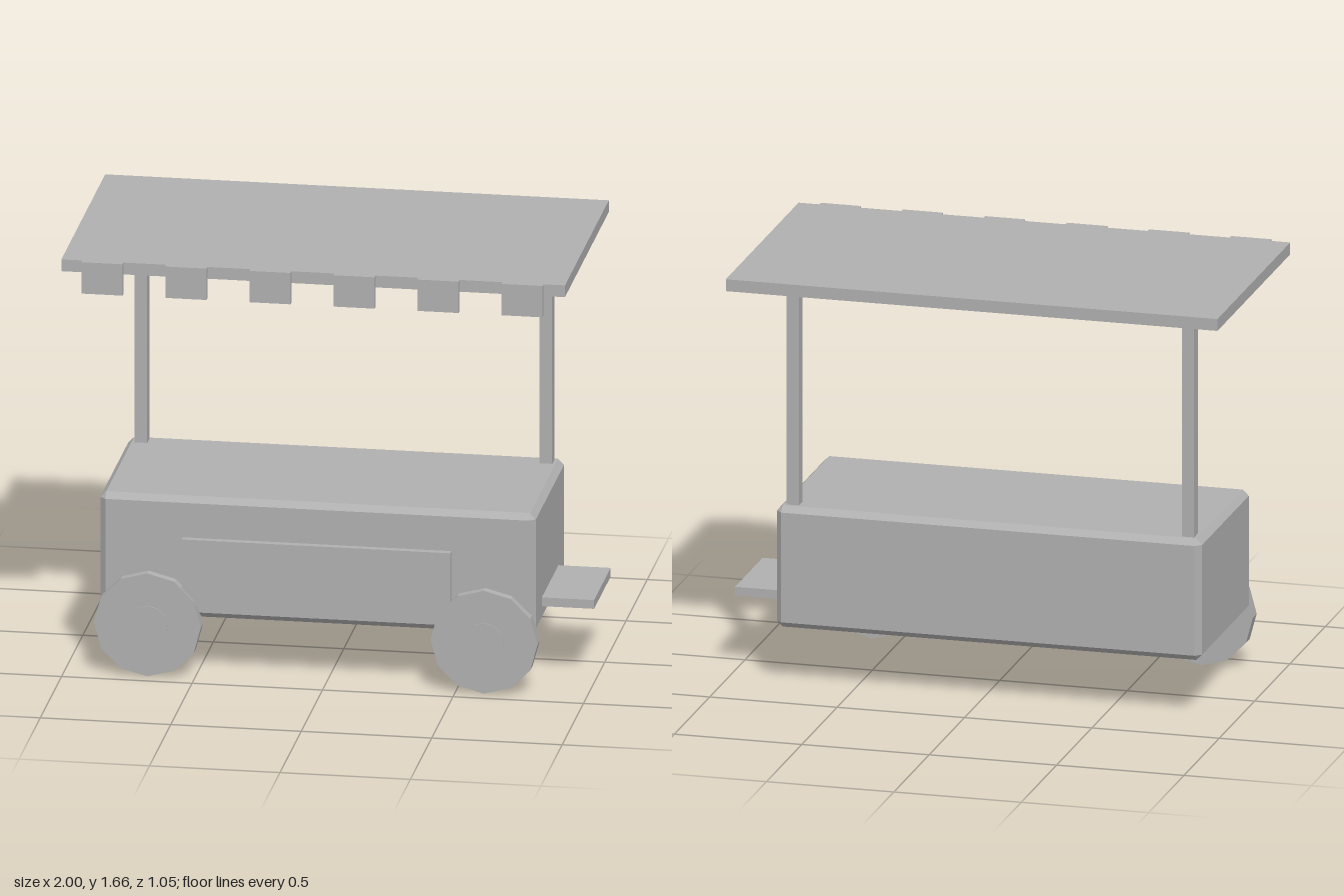
import * as THREE from 'three';
import { ConvexGeometry } from 'three/addons/geometries/ConvexGeometry.js';

export function createModel() {
  const model = new THREE.Group();
  model.name = 'marketCart';
  const grey = new THREE.MeshStandardMaterial({ color: 0xb0b0b0 });
  grey.name = 'plainGrey';

  const add = (name, geometry, x, y, z, parent = model) => {
    const mesh = new THREE.Mesh(geometry, grey);
    mesh.name = name;
    mesh.position.set(x, y, z);
    parent.add(mesh);
    return mesh;
  };

  // Box given by its limits on each axis
  const box = (name, [x0, x1], [y0, y1], [z0, z1], parent) =>
    add(name, new THREE.BoxGeometry(x1 - x0, y1 - y0, z1 - z0),
      (x0 + x1) / 2, (y0 + y1) / 2, (z0 + z1) / 2, parent);

  // Box with every edge cut at 45 degrees
  const chamferedBox = (w, h, d, c) => {
    const points = [];
    for (const sx of [-1, 1]) for (const sy of [-1, 1]) for (const sz of [-1, 1]) {
      const [x, y, z] = [w / 2, h / 2, d / 2];
      points.push(
        new THREE.Vector3(sx * x, sy * (y - c), sz * (z - c)),
        new THREE.Vector3(sx * (x - c), sy * y, sz * (z - c)),
        new THREE.Vector3(sx * (x - c), sy * (y - c), sz * z));
    }
    return new ConvexGeometry(points);
  };

  // Flat-sided disc facing the front, with a vertex at the top
  const disc = (radius, depth) =>
    new THREE.CylinderGeometry(radius, radius, depth, 12).toNonIndexed().rotateX(Math.PI / 2);

  // Cart body, front panel and side shelf
  add('body', chamferedBox(1.67, 0.48, 0.705, 0.023), -0.035, 0.47, 0.0575);
  box('frontPanel', [-0.55, 0.48], [0.29, 0.55], [0.4, 0.437]);
  box('sideShelf', [0.79, 1], [0.295, 0.33], [-0.14, 0.25]);

  // Rear posts and flat roof
  box('rightPost', [-0.835, -0.787], [0.7, 1.63], [-0.26, -0.207]);
  box('leftPost', [0.716, 0.765], [0.7, 1.63], [-0.26, -0.207]);
  box('roof', [-1, 0.93], [1.618, 1.665], [-0.525, 0.505]);

  // Row of awning flaps along the front edge
  const awning = new THREE.Group();
  awning.name = 'awningFlaps';
  model.add(awning);
  for (let i = 0; i < 6; i++) {
    const x = -0.92 + i * 0.322;
    box('flap', [x, x + 0.158], [1.54, 1.665], [0.502, 0.526], awning);
  }

  // Two wheels on the front face, each with a low hub
  for (const [name, x] of [['rightWheel', -0.68], ['leftWheel', 0.61]]) {
    const wheel = new THREE.Group();
    wheel.name = name;
    wheel.position.set(x, 0.205, 0.418);
    model.add(wheel);
    const tyre = disc(0.205, 0.054);
    tyre.computeVertexNormals();
    add('tyre', tyre, 0, 0, 0, wheel);
    const hub = disc(0.077, 0.01);
    hub.computeVertexNormals();
    add('hub', hub, 0, 0, 0.026, wheel);
  }
  return model;
}
